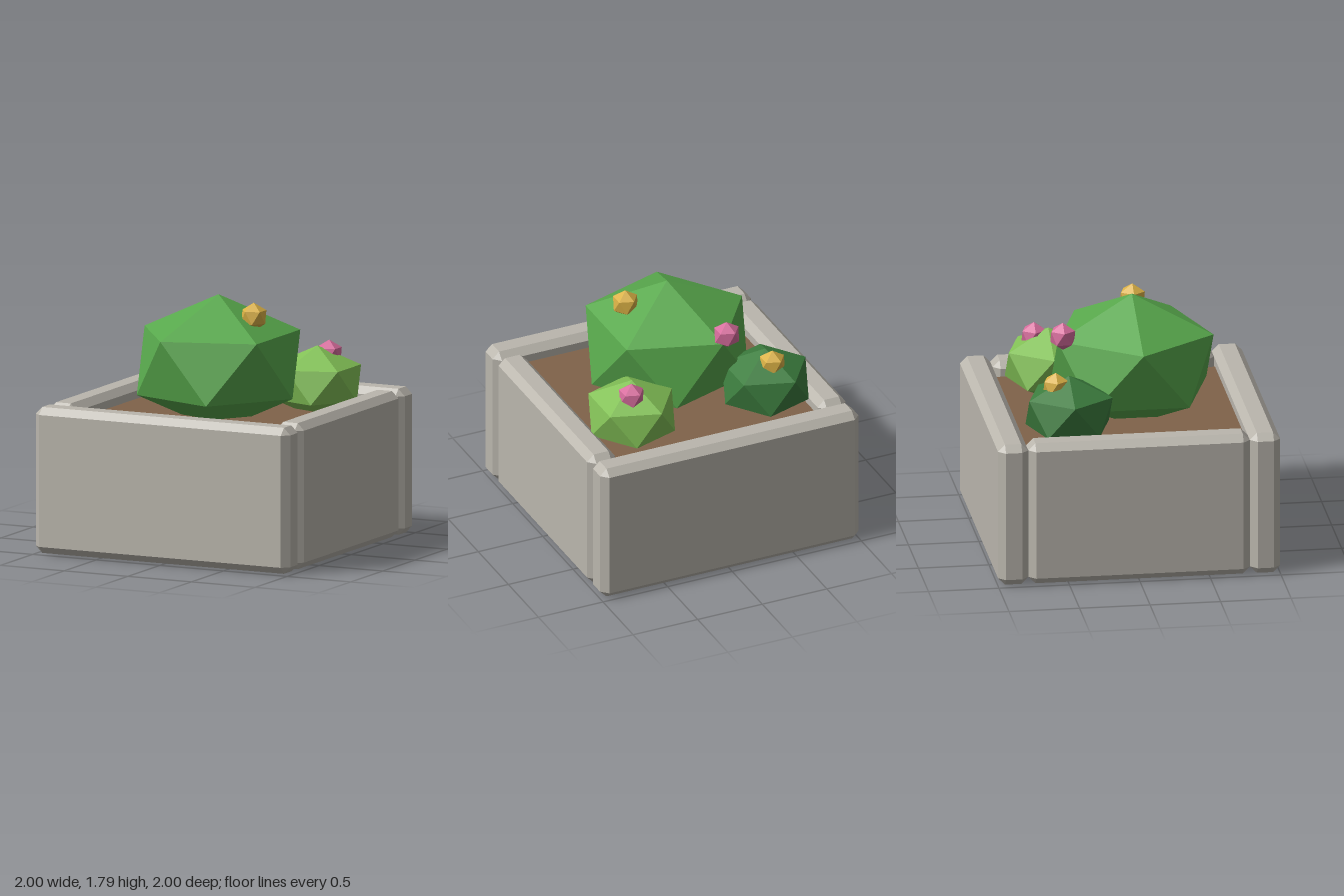
import * as THREE from 'three';
import { ConvexGeometry } from 'three/addons/geometries/ConvexGeometry.js';

const material = (name, color) => {
  const m = new THREE.MeshStandardMaterial({ color });
  m.name = name;
  return m;
};

// Box with every edge cut at 45 degrees
function chamferedBox(w, h, d, c) {
  const points = [];
  for (const x of [-w / 2, w / 2]) {
    for (const y of [-h / 2, h / 2]) {
      for (const z of [-d / 2, d / 2]) {
        const ix = x - Math.sign(x) * c, iy = y - Math.sign(y) * c, iz = z - Math.sign(z) * c;
        points.push(
          new THREE.Vector3(x, iy, iz),
          new THREE.Vector3(ix, y, iz),
          new THREE.Vector3(ix, iy, z)
        );
      }
    }
  }
  return new ConvexGeometry(points);
}

// Icosahedron standing on a vertex, with two staggered rings of five corners
function facetedBall(radius, halfHeight) {
  const points = [new THREE.Vector3(0, halfHeight, 0), new THREE.Vector3(0, -halfHeight, 0)];
  const ring = radius * 2 / Math.sqrt(5), level = halfHeight / Math.sqrt(5);
  for (let i = 0; i < 10; i++) {
    const a = i * Math.PI / 5;
    points.push(new THREE.Vector3(Math.cos(a) * ring, i % 2 ? level : -level, Math.sin(a) * ring));
  }
  return new ConvexGeometry(points);
}

export function createModel() {
  const model = new THREE.Group();
  model.name = 'planter';
  const stone = material('stone', 0xbab6ad);
  const earth = material('earth', 0x80634a);
  const green = material('leaf green', 0x58a84c);
  const darkGreen = material('dark leaf green', 0x3c7d3e);
  const lightGreen = material('light leaf green', 0x82c056);
  const yellow = material('yellow petals', 0xd9b045);
  const pink = material('pink petals', 0xd66c9c);

  const add = (name, geometry, mat, x, y, z) => {
    const mesh = new THREE.Mesh(geometry, mat);
    mesh.name = name;
    mesh.position.set(x, y, z);
    model.add(mesh);
  };

  // Stone walls
  const thick = 0.215, inner = 0.785, mid = 1 - thick / 2, height = 1.04, wallY = 0.527;
  const longWall = chamferedBox(2, height, thick, 0.05);
  const sideWall = chamferedBox(thick, height, inner * 2, 0.05);
  add('frontWall', longWall, stone, 0, wallY, mid);
  add('backWall', longWall, stone, 0, wallY, -mid);
  add('leftWall', sideWall, stone, mid, wallY, 0);
  add('rightWall', sideWall, stone, -mid, wallY, 0);

  // Soil block filling the planter
  const soilTop = 0.94;
  add('soil', new THREE.BoxGeometry(inner * 2, soilTop, inner * 2), earth, 0, soilTop / 2, 0);

  // Bushes, slightly flattened
  add('largeBush', facetedBall(0.65, 0.485), green, 0, 1.305, 0.085);
  const smallBush = facetedBall(0.347, 0.26);
  add('darkBush', smallBush, darkGreen, -0.52, 1.125, -0.435);
  add('lightBush', smallBush, lightGreen, 0.515, 1.125, -0.435);

  // Blossoms
  const blossom = facetedBall(0.1, 0.1);
  add('yellowBlossomFront', blossom, yellow, 0.3, 1.66, 0.13);
  add('yellowBlossomBack', blossom, yellow, -0.53, 1.315, -0.53);
  add('pinkBlossomMiddle', blossom, pink, -0.22, 1.575, -0.437);
  add('pinkBlossomBack', blossom, pink, 0.56, 1.315, -0.53);

  return model;
}
